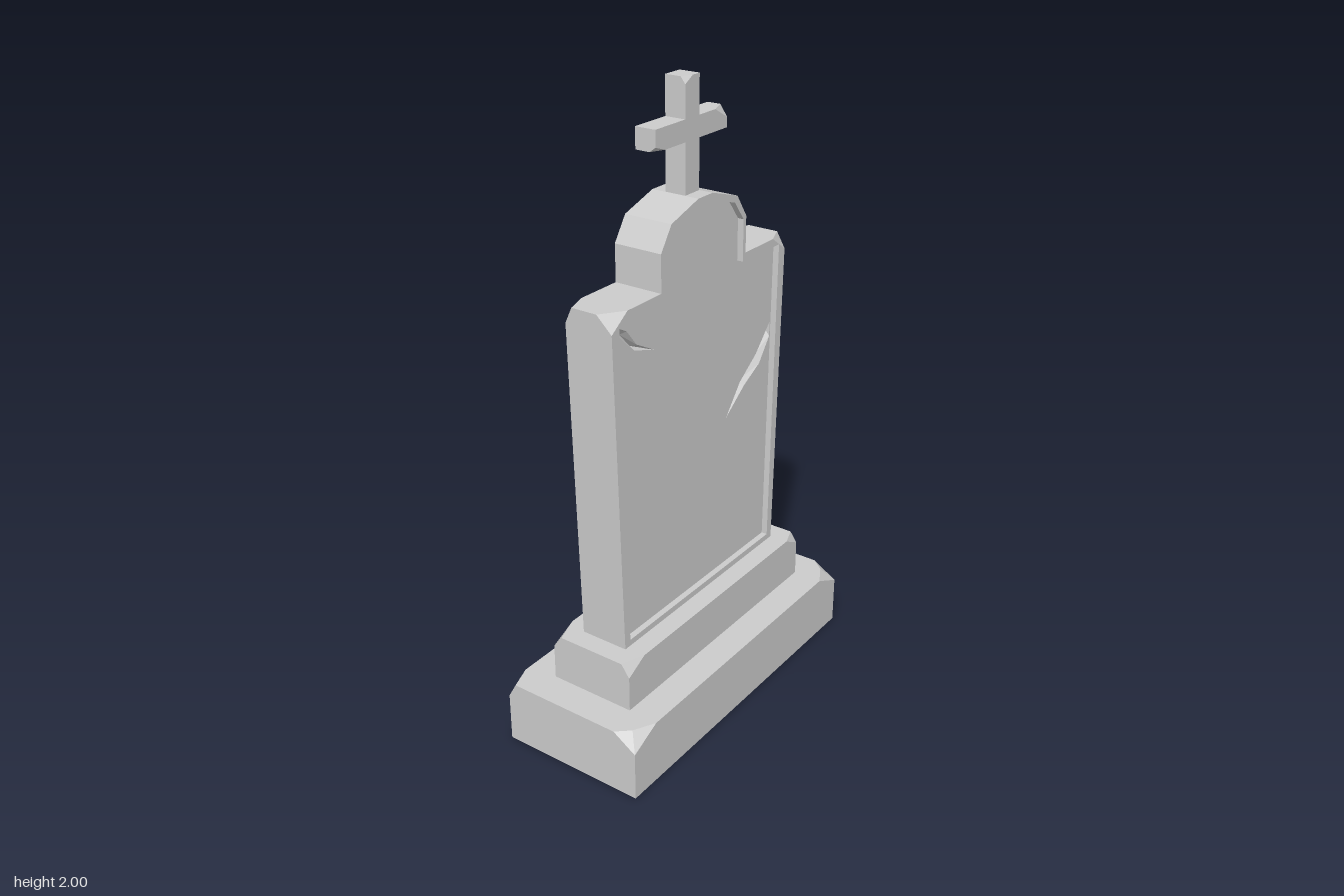
import * as THREE from 'three';
import { ConvexGeometry } from 'three/addons/geometries/ConvexGeometry.js';

const stone = new THREE.MeshStandardMaterial({ color: 0xcccccc, flatShading: true, side: THREE.DoubleSide });

function add(parent, name, geometry) {
  const mesh = new THREE.Mesh(geometry, stone);
  mesh.name = name;
  parent.add(mesh);
}

// Box with some corners broken off.
// chip: corner signs, then how far the break runs along x, y and z, and an optional bulge point on top.
function chippedBlock([w, h, d], y0, chips) {
  const points = [];
  for (const sx of [-1, 1]) for (const sy of [-1, 1]) for (const sz of [-1, 1]) {
    const at = (dx, dy, dz) => points.push(new THREE.Vector3(
      sx * (w / 2 - dx), y0 + h / 2 + sy * (h / 2 - dy), sz * (d / 2 - dz)));
    const chip = chips.find(c => c.corner[0] === sx && c.corner[1] === sy && c.corner[2] === sz);
    if (!chip) { at(0, 0, 0); continue; }
    const [dx, dy, dz] = chip.cut;
    at(dx, 0, 0);
    at(0, dy, 0);
    at(0, 0, dz);
    if (chip.bulge) at(chip.bulge[0], 0, chip.bulge[1]);
  }
  return new ConvexGeometry(points);
}

function fromTriangles(triangles) {
  const geometry = new THREE.BufferGeometry();
  geometry.setAttribute('position', new THREE.Float32BufferAttribute(triangles.flat(2), 3));
  geometry.computeVertexNormals();
  return geometry;
}

// Wall around a closed loop of {x, y, back, front} points, facing outward when the loop is counterclockwise
function wall(loop) {
  const triangles = [];
  loop.forEach((p, i) => {
    const q = loop[(i + 1) % loop.length];
    const pb = [p.x, p.y, p.back], pf = [p.x, p.y, p.front];
    const qb = [q.x, q.y, q.back], qf = [q.x, q.y, q.front];
    triangles.push([pb, qb, qf], [pb, qf, pf]);
  });
  return fromTriangles(triangles);
}

function flatFace(loop, holes, z) {
  const toVectors = l => l.map(p => new THREE.Vector2(p.x, p.y));
  const shape = new THREE.Shape(toVectors(loop));
  holes.forEach(h => shape.holes.push(new THREE.Path(toVectors(h))));
  return new THREE.ShapeGeometry(shape).translate(0, 0, z);
}

// Mirror the right half of an outline to close it
function mirrored(half, back, front) {
  const right = half.map(([x, y, corner]) => ({ x, y, back, front, corner }));
  const left = right.map(p => ({ ...p, x: -p.x })).reverse();
  return [...right, ...left];
}

const FACE = 0.08, FLOOR = 0.06;

function createHeadstone() {
  const group = new THREE.Group();
  group.name = 'headstone';

  const outline = mirrored([
    [0.405, 0.365], [0.4355, 1.39], [0.437, 1.44, true], [0.365, 1.44],
    [0.212, 1.44], [0.212, 1.555], [0.163, 1.628], [0.035, 1.668],
  ], -FACE, FACE);
  const panel = mirrored([
    [0.38, 0.385], [0.402, 1.413], [0.198, 1.415], [0.198, 1.547], [0.15, 1.61], [0.03, 1.647],
  ], FLOOR, FACE);

  // Broken shoulder corners, pulled in from the front and back faces
  const breaks = [];
  outline.forEach((k, i) => {
    if (!k.corner) return;
    k.front = k.x < 0 ? 0.03 : 0.05;
    k.back = -0.056;
    const a = outline[i - 1], b = outline[i + 1];
    breaks.push([[a.x, a.y, FACE], [k.x, k.y, k.front], [b.x, b.y, FACE]]);
    breaks.push([[b.x, b.y, -FACE], [k.x, k.y, k.back], [a.x, a.y, -FACE]]);
  });
  const faceLoop = outline.filter(p => !p.corner);

  // Cracks: upper and lower lips meeting at a tip, with a sunken valley between
  const cracks = [
    { upper: [[-0.393, 1.395], [-0.345, 1.368], [-0.303, 1.315]],
      lower: [[-0.393, 1.378], [-0.362, 1.345], [-0.312, 1.3]], tip: [-0.22, 1.27] },
    { upper: [[0.392, 1.155], [0.315, 1.07], [0.225, 1.005]],
      lower: [[0.391, 1.105], [0.335, 1.03], [0.25, 0.985]], tip: [0.15, 0.91] },
  ];
  const holes = cracks.map(c => [...c.upper, c.tip, ...[...c.lower].reverse()].map(([x, y]) => ({ x, y })));

  add(group, 'headstoneSides', wall(outline));
  add(group, 'headstoneBack', flatFace(faceLoop, [], 0).rotateY(Math.PI).translate(0, 0, -FACE));
  add(group, 'frontFrame', flatFace(faceLoop, [panel], FACE));
  add(group, 'brokenShoulders', fromTriangles(breaks));
  add(group, 'panelEdge', wall([...panel].reverse()));
  add(group, 'panelFloor', flatFace(panel, holes, FLOOR));

  cracks.forEach(({ upper, lower, tip }) => {
    const end = [...tip, FLOOR];
    const u = [...upper.map(p => [...p, FLOOR]), end];
    const l = [...lower.map(p => [...p, FLOOR]), end];
    const v = [...upper.map((p, i) => [
      (p[0] + lower[i][0]) / 2, (p[1] + lower[i][1]) / 2, FLOOR - 0.02]), end];
    const triangles = [[u[0], v[0], l[0]]];
    for (let i = 0; i < upper.length; i++) {
      triangles.push([u[i], v[i], u[i + 1]], [v[i], v[i + 1], u[i + 1]]);
      triangles.push([v[i], l[i], v[i + 1]], [l[i], l[i + 1], v[i + 1]]);
    }
    add(group, 'crack', fromTriangles(triangles));
  });
  return group;
}

export function createModel() {
  const model = new THREE.Group();
  model.name = 'gravestone';

  // Stepped plinth
  add(model, 'base', chippedBlock([1.154, 0.21, 0.486], 0, [
    { corner: [-1, 1, 1], cut: [0.105, 0.05, 0.078], bulge: [0.037, 0.036] },
    { corner: [1, 1, 1], cut: [0.107, 0.05, 0.083], bulge: [0.037, 0.038] },
    { corner: [-1, 1, -1], cut: [0.078, 0.05, 0.028] },
  ]));
  add(model, 'step', chippedBlock([0.942, 0.155, 0.288], 0.21, [
    { corner: [-1, 1, 1], cut: [0.075, 0.04, 0.028] },
    { corner: [1, 1, 1], cut: [0.065, 0.035, 0.024] },
    { corner: [-1, 1, -1], cut: [0.09, 0.04, 0.03] },
  ]));

  model.add(createHeadstone());

  // Cross on top
  const cross = new THREE.Group();
  cross.name = 'cross';
  add(cross, 'crossUpright', chippedBlock([0.068, 0.345, 0.068], 1.655, [
    { corner: [-1, 1, 1], cut: [0.035, 0.02, 0.016] },
  ]));
  add(cross, 'crossArm', chippedBlock([0.344, 0.064, 0.068], 1.82, [
    { corner: [1, 1, 1], cut: [0.06, 0.034, 0.024] },
    { corner: [-1, -1, 1], cut: [0.045, 0.015, 0.02] },
  ]));
  model.add(cross);
  return model;
}
